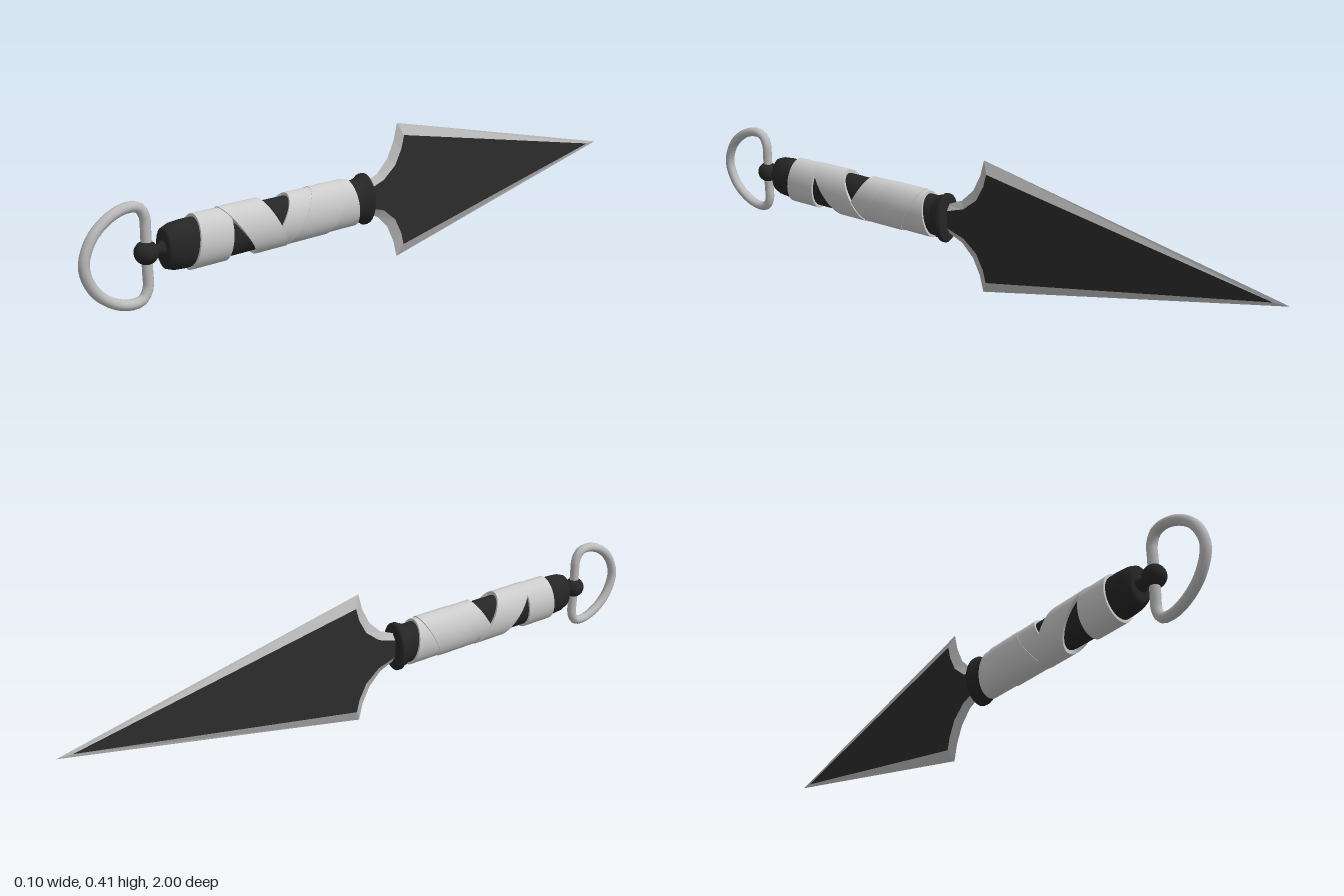
import * as THREE from 'three';

const CY = 0.207;      // height of the long axis
const OVAL = 1.5;      // grip height divided by grip width

const mat = (name, color, side = THREE.FrontSide) => {
  const m = new THREE.MeshStandardMaterial({ color, side });
  m.name = name;
  return m;
};

function createModel() {
  const root = new THREE.Group();
  root.name = 'dagger';
  const bladeBlack = mat('blade black', 0x2c2c2c);
  const gripBlack = mat('grip black', 0x262626);
  const steel = mat('steel', 0xbcbcbc);
  const cloth = mat('wrap cloth', 0xcccccc, THREE.DoubleSide);

  const add = (name, geometry, material) => {
    const mesh = new THREE.Mesh(geometry, material);
    mesh.name = name;
    mesh.position.y = CY;
    root.add(mesh);
    return mesh;
  };

  // Blade: half outlines as [z, y], tip to neck
  const edge = [[-1, 0], [-0.06, 0.205], [-0.047, 0.155], [-0.022, 0.105], [0.018, 0.066], [0.08, 0.04]];
  const face = [[-0.955, 0], [-0.077, 0.168], [-0.067, 0.13], [-0.042, 0.083], [0.004, 0.046], [0.08, 0.022]];
  const halfThick = i => (i === 0 ? 0.002 : 0.013);

  // Adds a triangle whose normal points to the side s of x
  const tri = (out, s, a, b, c) => {
    const nx = (b[1] - a[1]) * (c[2] - a[2]) - (b[2] - a[2]) * (c[1] - a[1]);
    if (Math.abs(nx) < 1e-9) return;
    out.push(...a, ...(nx * s > 0 ? [...b, ...c] : [...c, ...b]));
  };
  const quad = (out, s, a, b, c, d) => { tri(out, s, a, b, c); tri(out, s, a, c, d); };
  const soup = list => {
    const g = new THREE.BufferGeometry();
    g.setAttribute('position', new THREE.Float32BufferAttribute(list, 3));
    g.computeVertexNormals();
    return g;
  };

  const flats = [], bevels = [];
  for (const s of [1, -1]) {
    const inner = (i, v) => [s * halfThick(i), v * face[i][1], face[i][0]];
    const outer = (i, v) => [0, v * edge[i][1], edge[i][0]];
    for (let i = 0; i < edge.length - 1; i++) {
      quad(flats, s, inner(i, 1), inner(i + 1, 1), inner(i + 1, -1), inner(i, -1));
      for (const v of [1, -1]) quad(bevels, s, inner(i, v), outer(i, v), outer(i + 1, v), inner(i + 1, v));
    }
  }
  add('bladeFaces', soup(flats), bladeBlack);
  add('bladeBevels', soup(bevels), steel);

  // Oval turned parts: profile as [radius, z]
  const turned = (name, profile) => {
    const pts = profile.map(([r, z]) => new THREE.Vector2(r, z));
    const mesh = add(name, new THREE.LatheGeometry(pts, 24), gripBlack);
    mesh.rotation.x = Math.PI / 2;
    mesh.scale.z = OVAL;
    return mesh;
  };
  turned('guard', [[0, 0.064], [0.046, 0.064], [0.051, 0.07], [0.051, 0.08], [0.046, 0.086],
    [0.045, 0.098], [0.041, 0.106], [0.041, 0.125], [0, 0.125]]);
  turned('gripCore', [[0, 0.11], [0.042, 0.11], [0.043, 0.4], [0.044, 0.7], [0.042, 0.735],
    [0.037, 0.755], [0.03, 0.76], [0, 0.76]]);
  turned('pommelNeck', [[0.026, 0.755], [0.015, 0.768], [0.013, 0.8]]).scale.z = 1;

  // Cloth wrap bands: slanted oval shells, each edge given as [z at top, z at bottom]
  const band = (name, near, far, radius) => {
    const n = 40, pos = [], idx = [];
    const at = (e, v) => e[1] + (e[0] - e[1]) * (v + 1) / 2;
    // near rim, outside, far rim: separate rings keep the corners sharp
    const rings = [[near, 0.04], [near, radius], [near, radius], [far, radius], [far, radius], [far, 0.04]];
    for (const [e, r] of rings) {
      for (let j = 0; j <= n; j++) {
        const a = j / n * Math.PI * 2;
        pos.push(r * Math.sin(a), r * OVAL * Math.cos(a), at(e, Math.cos(a)));
      }
    }
    for (const k of [0, 2, 4]) {
      for (let j = 0; j < n; j++) {
        const a = k * (n + 1) + j, b = a + n + 1;
        idx.push(a, b, a + 1, b, b + 1, a + 1);
      }
    }
    const g = new THREE.BufferGeometry();
    g.setAttribute('position', new THREE.Float32BufferAttribute(pos, 3));
    // reversed order so that the outside faces outwards
    for (let i = 0; i < idx.length; i += 3) [idx[i + 1], idx[i + 2]] = [idx[i + 2], idx[i + 1]];
    g.setIndex(idx);
    g.computeVertexNormals();
    add(name, g, cloth);
  };
  band('wrapEnd', [0.14, 0.118], [0.22, 0.27], 0.0475);
  band('wrapFront', [0.155, 0.23], [0.28, 0.38], 0.0495);
  band('wrapMiddle', [0.262, 0.36], [0.36, 0.45], 0.0485);
  band('wrapDiagonal', [0.455, 0.37], [0.585, 0.475], 0.051);
  band('wrapRear', [0.565, 0.575], [0.665, 0.685], 0.0495);

  // Pommel ball and D-shaped ring
  add('pommelBall', new THREE.SphereGeometry(0.032, 20, 14), gripBlack).position.z = 0.808;
  const half = [[0.807, 0.05], [0.808, 0.095], [0.825, 0.122], [0.862, 0.127], [0.915, 0.108], [0.962, 0.065]];
  const path = [...half, [0.985, 0], ...half.slice().reverse().map(([z, y]) => [z, -y])]
    .map(([z, y]) => new THREE.Vector3(0, y, z));
  const curve = new THREE.CatmullRomCurve3(path, true);
  add('pommelRing', new THREE.TubeGeometry(curve, 48, 0.0145, 10, true), steel);

  return root;
}

export { createModel };
